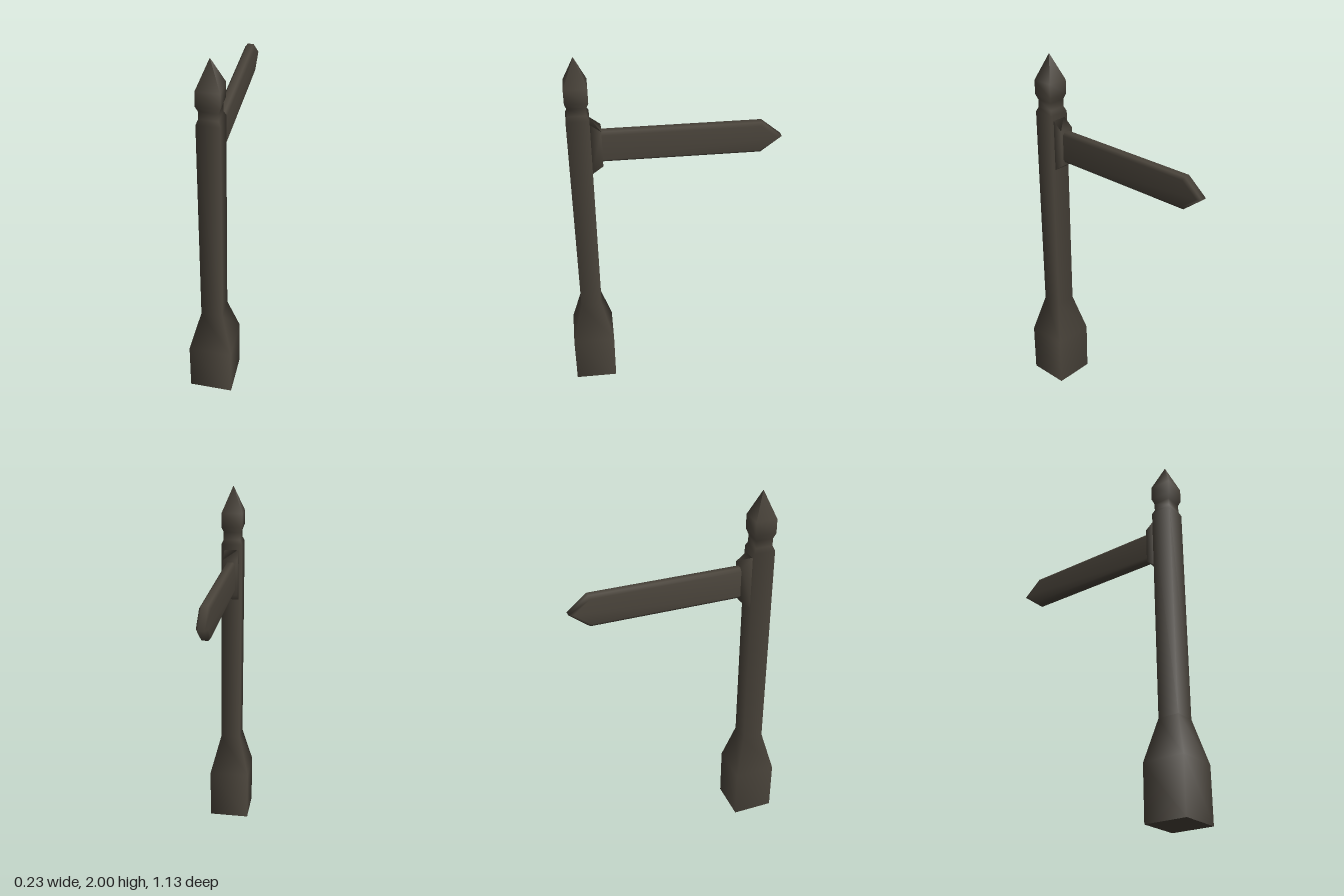
import * as THREE from 'three';
import { mergeVertices } from 'three/addons/utils/BufferGeometryUtils.js';

const POST_Z = 0.451;

// Share vertices so the shading runs softly over the edges
function soften(geometry) {
  geometry.deleteAttribute('normal');
  geometry.deleteAttribute('uv');
  const merged = mergeVertices(geometry, 1e-4);
  merged.computeVertexNormals();
  return merged;
}

// Extrude a side outline, given as [z, y] points, centred across x
function sidePiece(points, width, bevel) {
  const shape = new THREE.Shape(points.map(([z, y]) => new THREE.Vector2(-z, y)));
  const thick = bevel ? bevel.thickness : 0;
  const geometry = new THREE.ExtrudeGeometry(shape, {
    depth: width - 2 * thick,
    bevelEnabled: !!bevel,
    bevelThickness: thick,
    bevelSize: bevel ? bevel.size : 0,
    bevelOffset: bevel ? -bevel.size : 0,
    bevelSegments: 1,
  });
  geometry.translate(0, 0, -(width - 2 * thick) / 2);
  geometry.rotateY(Math.PI / 2);
  return soften(geometry);
}

export function createModel() {
  const group = new THREE.Group();
  const wood = new THREE.MeshStandardMaterial({ color: 0x4a443b });
  wood.name = 'darkWood';

  const add = (name, geometry) => {
    const mesh = new THREE.Mesh(geometry, wood);
    mesh.name = name;
    group.add(mesh);
    return mesh;
  };

  // Square post: wide foot, shaft, neck and pointed finial ([half width, y])
  const profile = [
    [0.114, 0], [0.114, 0.29], [0.057, 0.515], [0.057, 1.69], [0.046, 1.715],
    [0.046, 1.755], [0.057, 1.785], [0.057, 1.86], [0, 2],
  ].map(([half, y]) => new THREE.Vector2(half * Math.SQRT2, y));
  add('post', new THREE.LatheGeometry(profile, 4, Math.PI / 4)).position.z = POST_Z;

  // Underside of the foot
  const underside = new THREE.PlaneGeometry(0.228, 0.228).rotateX(Math.PI / 2);
  add('footUnderside', underside).position.z = POST_Z;

  // Tapered bracket holding the arm
  add('bracket', sidePiece([
    [0.4, 1.375], [0.34, 1.42], [0.34, 1.617], [0.4, 1.665],
  ], 0.08));

  // Pointed sign arm with chamfered edges
  add('signArm', sidePiece([
    [0.38, 1.435], [-0.46, 1.435], [-0.565, 1.518], [-0.46, 1.605], [0.38, 1.605],
  ], 0.056, { thickness: 0.012, size: 0.016 }));

  return group;
}
